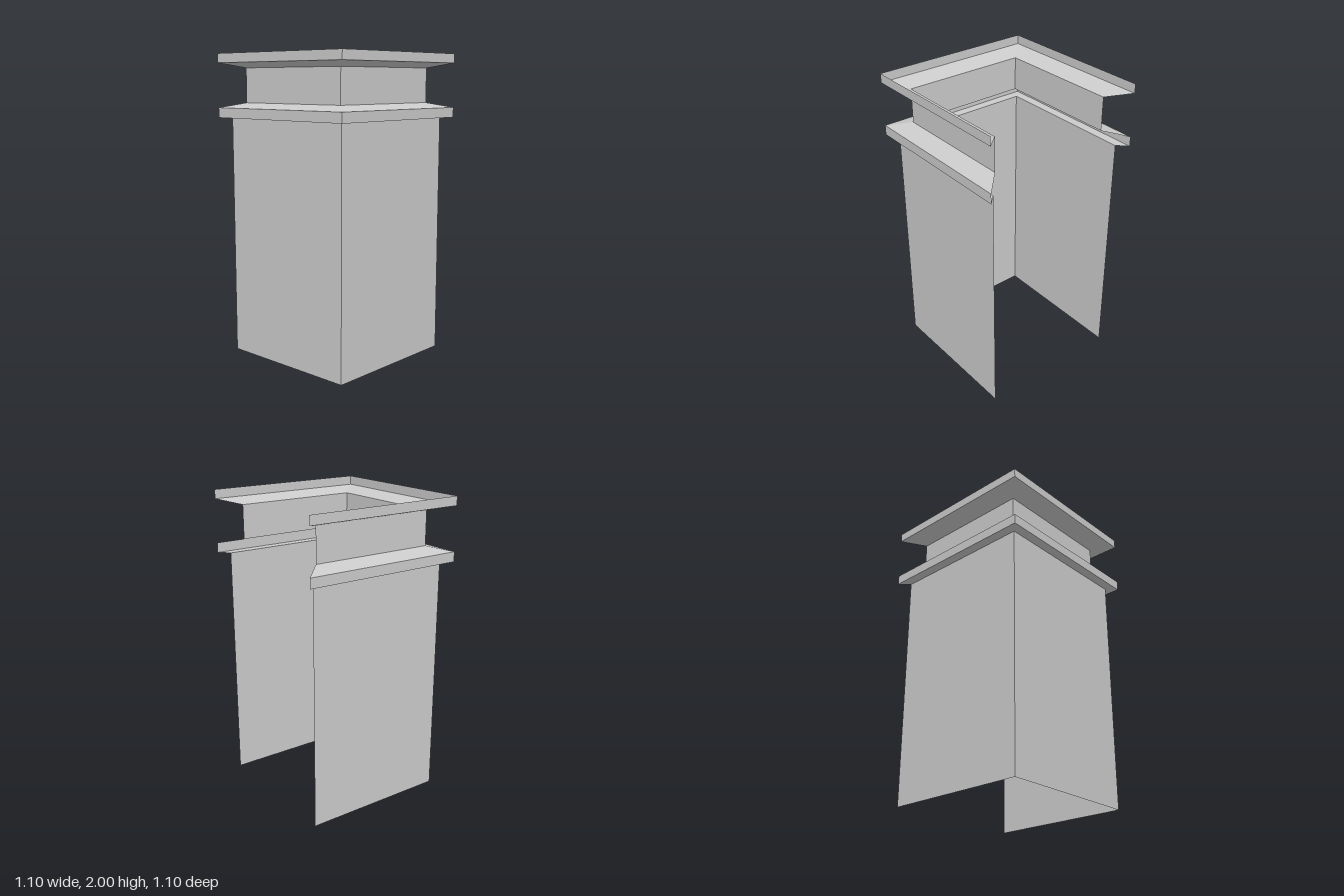
import * as THREE from 'three';

const material = new THREE.MeshStandardMaterial({
  color: 0xcccccc, flatShading: true, side: THREE.DoubleSide,
});

// Sweeps a profile of [offset, y] points round three sides of a square (back open),
// with mitred corners and mitred open ends.
function sweepThreeSides(name, profile) {
  const corners = [[-1, -1], [-1, 1], [1, 1], [1, -1]];
  const positions = [];
  for (let side = 0; side < 3; side++) {
    const [ax, az] = corners[side];
    const [bx, bz] = corners[side + 1];
    for (let i = 0; i < profile.length - 1; i++) {
      const [r0, y0] = profile[i];
      const [r1, y1] = profile[i + 1];
      const a0 = [ax * r0, y0, az * r0], b0 = [bx * r0, y0, bz * r0];
      const a1 = [ax * r1, y1, az * r1], b1 = [bx * r1, y1, bz * r1];
      positions.push(...a0, ...b0, ...b1, ...a0, ...b1, ...a1);
    }
  }
  const geometry = new THREE.BufferGeometry();
  geometry.setAttribute('position', new THREE.Float32BufferAttribute(positions, 3));
  geometry.computeVertexNormals();
  const mesh = new THREE.Mesh(geometry, material);
  mesh.name = name;
  return mesh;
}

export function createModel() {
  const group = new THREE.Group();
  group.name = 'threeSidedPedestal';

  const shaft = 0.485, neck = 0.418, rim = 0.548;

  // Tall plain walls
  group.add(sweepThreeSides('shaftWalls', [[shaft, 0], [shaft, 1.585]]));

  // Lower moulding: flat underside, upright lip and sloped top
  group.add(sweepThreeSides('lowerMoulding', [
    [shaft, 1.585], [rim, 1.585], [rim, 1.65], [neck, 1.682],
  ]));

  // Recessed band between the mouldings
  group.add(sweepThreeSides('neckBand', [[neck, 1.682], [neck, 1.907]]));

  // Upper moulding: flared underside and upright lip, open on top
  group.add(sweepThreeSides('upperMoulding', [[neck, 1.907], [rim, 1.94], [rim, 2]]));

  return group;
}
